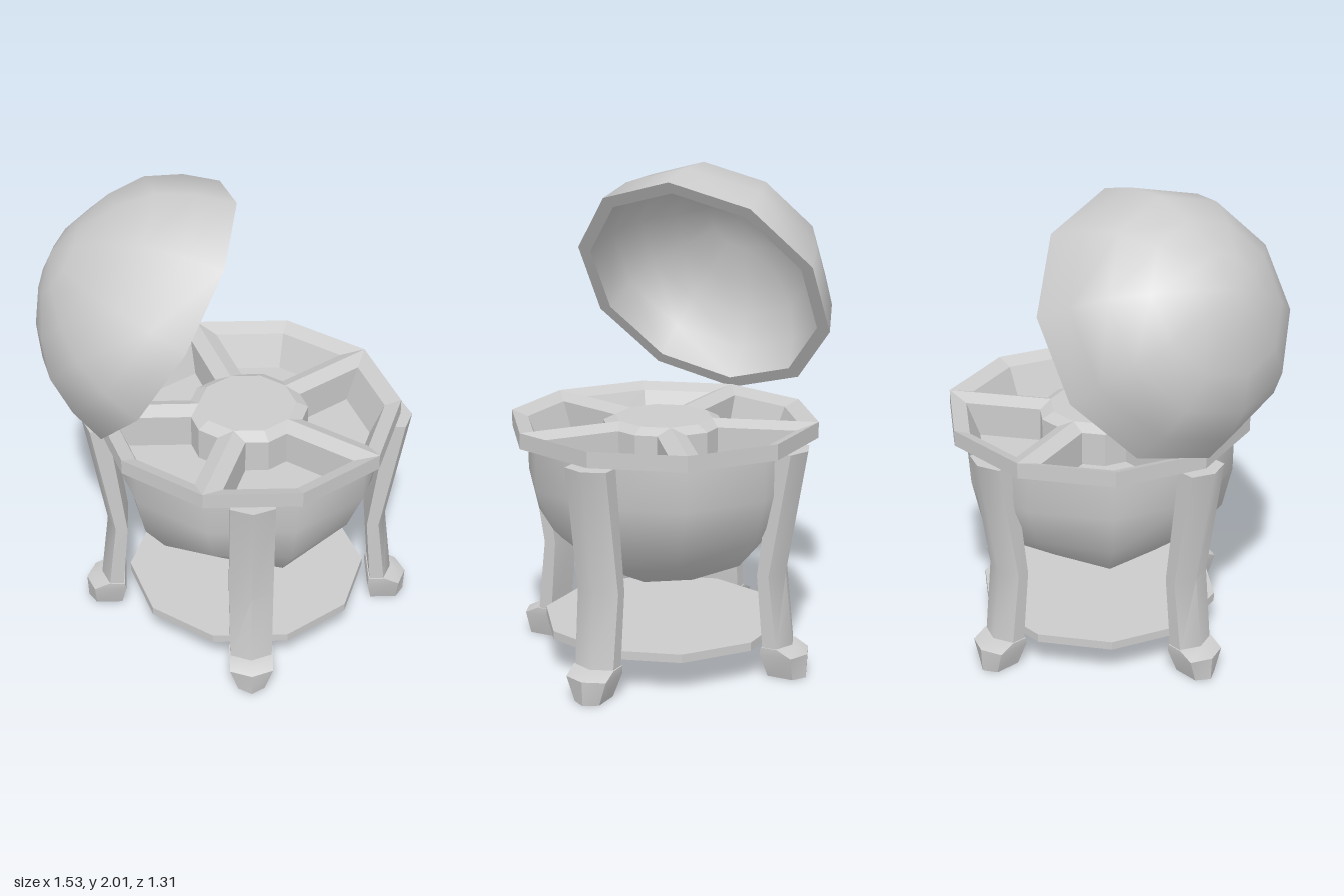
import * as THREE from 'three';
import { toCreasedNormals } from 'three/addons/utils/BufferGeometryUtils.js';

const CX = 0.075, SIDES = 10, STEP = Math.PI / 5, QUARTER = Math.PI / 2;
const grey = new THREE.MeshStandardMaterial({ color: 0xcccccc });

function part(name, geometry, crease, parent) {
  const mesh = new THREE.Mesh(toCreasedNormals(geometry, crease), grey);
  mesh.name = name;
  parent.add(mesh);
  return mesh;
}

// Skin a stack of closed rows (counter-clockwise from above); rising rows face out, falling rows face in.
function loft(rows, capFirst, capLast) {
  const n = rows[0].length, positions = rows.flat(2), index = [];
  rows.slice(1).forEach((_, j) => {
    for (let i = 0; i < n; i++) {
      const a = j * n + i, b = j * n + (i + 1) % n;
      index.push(a, b, b + n, a, b + n, a + n);
    }
  });
  const cap = (j, flip) => {
    const c = positions.length / 3;
    for (let k = 0; k < 3; k++) positions.push(rows[j].reduce((s, p) => s + p[k], 0) / n);
    for (let i = 0; i < n; i++) {
      const a = j * n + i, b = j * n + (i + 1) % n;
      index.push(c, flip ? b : a, flip ? a : b);
    }
  };
  if (capFirst) cap(0, true);
  if (capLast) cap(rows.length - 1, false);
  const g = new THREE.BufferGeometry();
  g.setAttribute('position', new THREE.Float32BufferAttribute(positions, 3));
  g.setIndex(index);
  return g;
}

// Ten-sided row; odd corners may be pulled in so the row tends to a pentagon
function decagon(r, y, odd = 1) {
  return Array.from({ length: SIDES }, (_, k) => {
    const q = k % 2 ? r * odd : r;
    return [q * Math.cos(k * STEP), y, -q * Math.sin(k * STEP)];
  });
}

// Six-cornered outline of one tray compartment: outer radius, hub radius, inset from the spokes
function wedge(outer, hub, inset, y) {
  const corner = (r, s) => {
    const t = r - inset * Math.tan(STEP / 2);
    return [t * Math.cos(STEP) + inset * Math.sin(STEP), y,
      -s * (t * Math.sin(STEP) - inset * Math.cos(STEP))];
  };
  return [corner(outer, -1), [outer, y, 0], corner(outer, 1),
    corner(hub, 1), [hub, y, 0], corner(hub, -1)];
}

// Five-sided leg section with a blunt ridge facing outwards
function legRow([y, inner, outer, w]) {
  const c = outer - 0.035;
  return [[inner, y, w], [c, y, w], [outer, y, 0], [c, y, -w], [inner, y, -w]];
}

export function createModel() {
  const model = new THREE.Group();
  model.name = 'globeCabinet';
  const base = new THREE.Group();
  base.name = 'base';
  base.position.x = CX;
  model.add(base);

  // Lower half of the globe
  part('bowl', loft([
    decagon(0.17, 0.355, 0.81), decagon(0.43, 0.475, 0.83), decagon(0.525, 0.6, 0.94),
    decagon(0.565, 0.77), decagon(0.568, 0.96),
  ], true, false), 0.9, base);

  // Outer band with its underside
  part('rim', loft([decagon(0.55, 0.95), decagon(0.632, 0.95), decagon(0.632, 1.015)]), 0.2, base);

  // Tray: flat hub and five sunken compartments divided by ridged spokes
  const tray = new THREE.Group();
  tray.name = 'tray';
  base.add(tray);
  part('hub', loft([decagon(0.2, 1.014), decagon(0.2, 1.015)], false, true), 0.2, tray);
  for (let k = 0; k < 5; k++) {
    part('compartment', loft([
      wedge(0.632, 0.2, 0, 1.015), wedge(0.565, 0.25, 0.058, 0.99), wedge(0.508, 0.25, 0.058, 0.85),
    ], false, true), 0.1, tray).rotation.y = k * 2 * STEP;
  }

  // Four bowed legs with pointed feet; front and back ones stand slightly closer
  const legRows = [[0.12, 0.53, 0.625, 0.085], [0.43, 0.505, 0.59, 0.09], [0.945, 0.57, 0.68, 0.09]];
  const footRows = [[0, 0.54, 0.685, 0.055], [0.1, 0.52, 0.69, 0.088], [0.13, 0.525, 0.63, 0.09]];
  ['leftLeg', 'backLeg', 'rightLeg', 'frontLeg'].forEach((name, k) => {
    const leg = new THREE.Group();
    leg.name = name;
    leg.rotation.y = k * QUARTER;
    base.add(leg);
    const shift = k % 2 ? -0.037 : 0;
    part('post', loft(legRows.map(legRow), true, true), 0.8, leg).position.x = shift;
    part('foot', loft(footRows.map(legRow), true, true), 0.5, leg).position.x = shift;
  });

  // Low shelf between the legs
  const shelf = new THREE.CylinderGeometry(0.5, 0.5, 0.035, SIDES, 1, false, QUARTER);
  part('shelf', shelf, 0.2, base).position.y = 0.153;

  // Thick domed lid, tilted open to the side
  const outer = [[0.566, 0], [0.52, 0.15], [0.44, 0.29], [0.313, 0.39], [0.158, 0.465], [0, 0.5]];
  const inner = [[0, 0.44], [0.13, 0.41], [0.27, 0.35], [0.39, 0.26], [0.465, 0.14], [0.51, 0]];
  const profile = [...inner, ...outer].map(([x, y]) => new THREE.Vector2(x, y));
  const lid = part('lid', new THREE.LatheGeometry(profile, SIDES, QUARTER), 0.9, model);
  lid.position.set(-0.27, 1.48, 0);
  lid.rotation.z = 1.012;

  return model;
}
